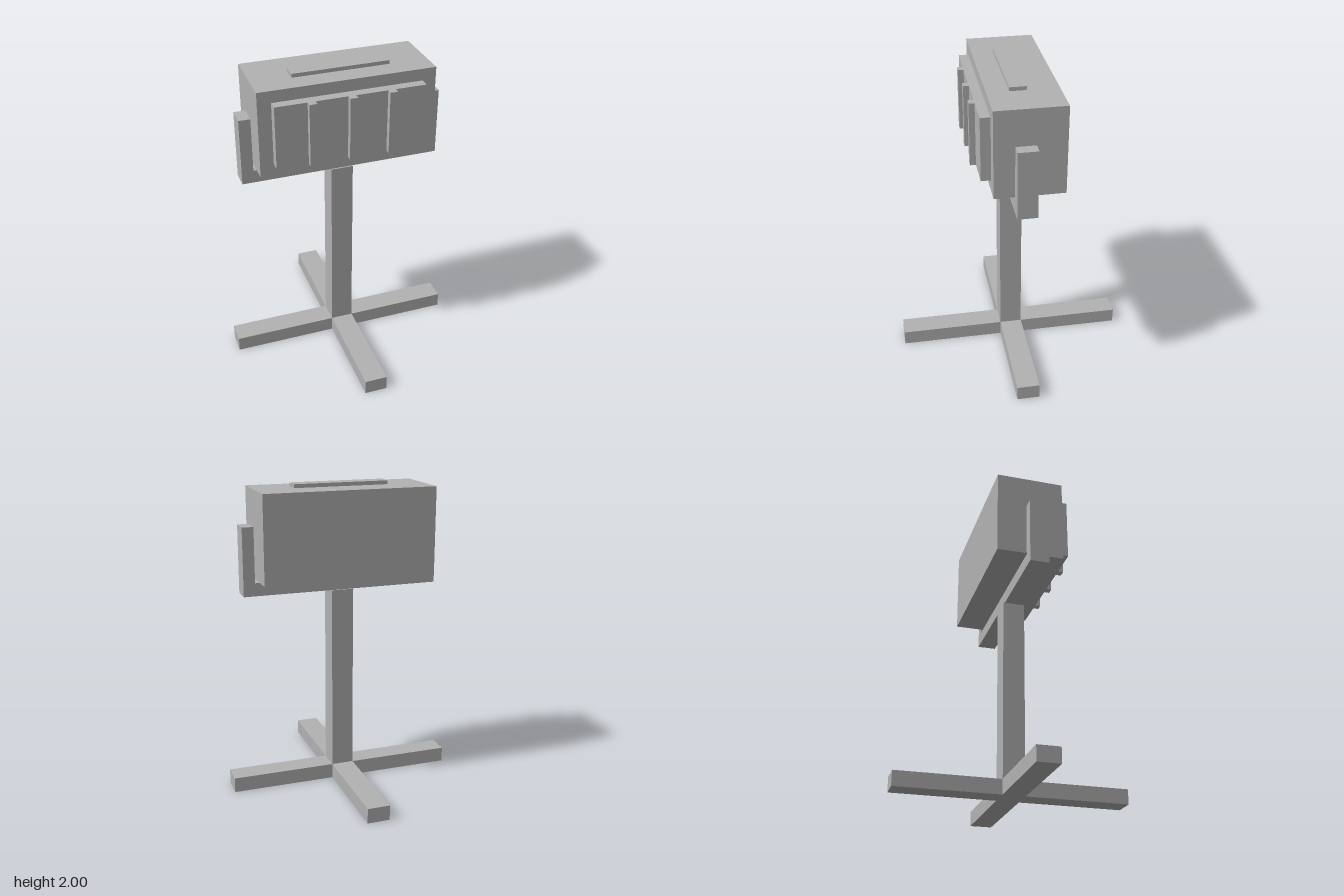
import * as THREE from 'three';

const grey = new THREE.MeshStandardMaterial({ color: 0xb2b2b2 });
grey.name = 'plain grey';

// Box given by its min and max along each axis
function box(name, [x0, x1], [y0, y1], [z0, z1]) {
  const mesh = new THREE.Mesh(new THREE.BoxGeometry(x1 - x0, y1 - y0, z1 - z0), grey);
  mesh.name = name;
  mesh.position.set((x0 + x1) / 2, (y0 + y1) / 2, (z0 + z1) / 2);
  return mesh;
}

// Straight extrusion of an outline
function slab(name, points, depth) {
  const shape = new THREE.Shape(points.map(([x, y]) => new THREE.Vector2(x, y)));
  const mesh = new THREE.Mesh(new THREE.ExtrudeGeometry(shape, { depth, bevelEnabled: false }), grey);
  mesh.name = name;
  return mesh;
}

export function createModel() {
  const model = new THREE.Group();
  model.name = 'swivelLampOnStand';

  // Cross-shaped foot, lying flat on the ground
  const r = 0.75, w = 0.073;
  const foot = slab('crossFoot', [
    [w, -r], [w, -w], [r, -w], [r, w], [w, w], [w, r],
    [-w, r], [-w, w], [-r, w], [-r, -w], [-w, -w], [-w, -r],
  ], 0.098);
  foot.rotation.x = -Math.PI / 2;
  model.add(foot);

  // Post
  model.add(box('post', [-0.072, 0.072], [0.098, 1.316], [-0.072, 0.072]));

  // U-shaped yoke
  const yoke = slab('yoke', [
    [-0.648, 1.316], [0.648, 1.316], [0.648, 1.753], [0.574, 1.753],
    [0.574, 1.4], [-0.574, 1.4], [-0.574, 1.753], [-0.648, 1.753],
  ], 0.124);
  yoke.position.z = -0.062;
  model.add(yoke);

  // Head with top strip and front panel
  model.add(box('head', [-0.56, 0.56], [1.416, 1.976], [-0.248, 0.186]));
  model.add(box('topStrip', [-0.31, 0.31], [1.976, 2], [-0.051, 0.051]));
  model.add(box('frontPanel', [-0.475, 0.475], [1.494, 1.9], [0.186, 0.248]));

  // Vertical ribs on the panel
  for (const x of [-0.25, 0, 0.25]) {
    model.add(box('panelRib', [x - 0.024, x + 0.024], [1.494, 1.9], [0.248, 0.284]));
  }
  return model;
}
